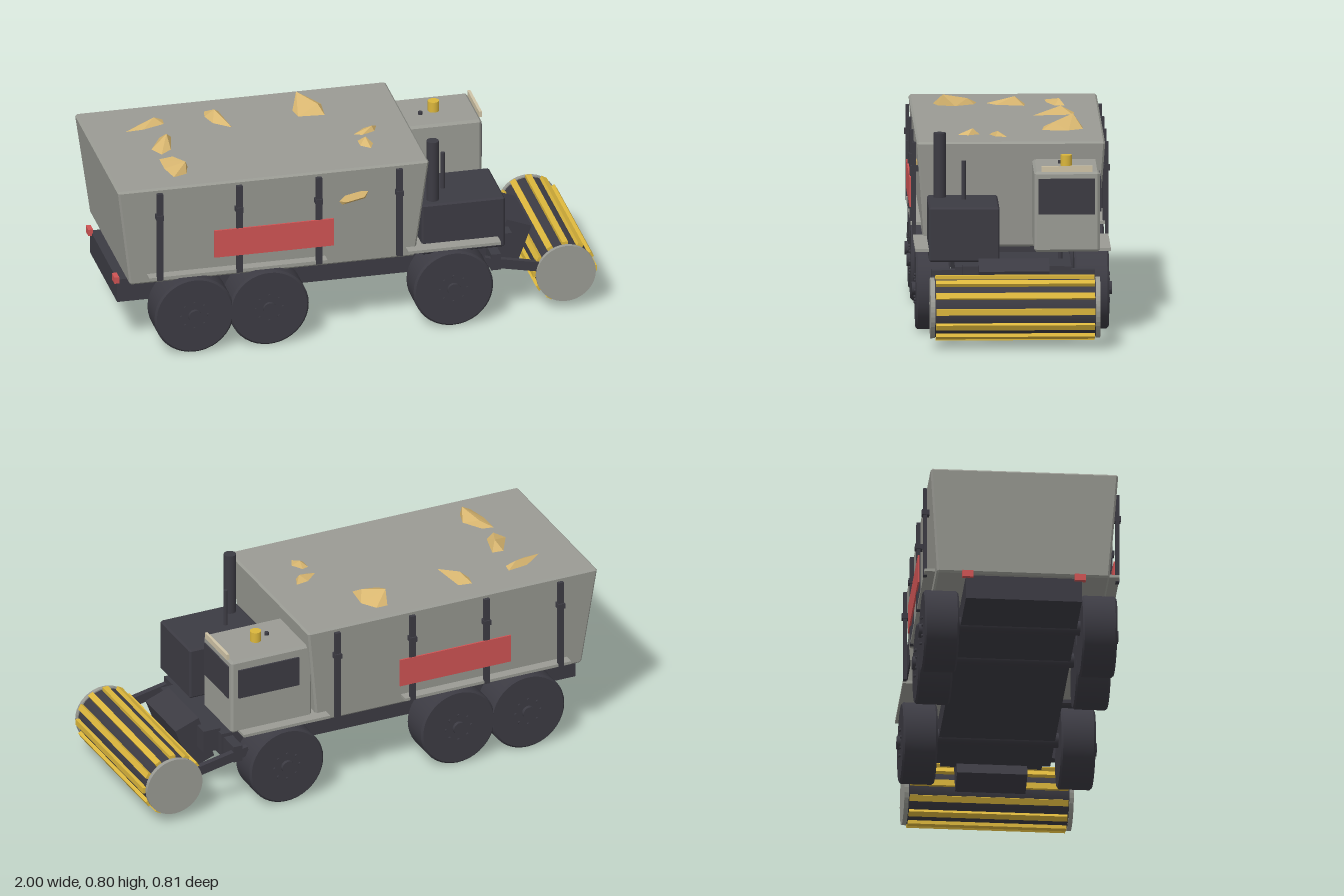
import * as THREE from 'three';
import { ConvexGeometry } from 'three/addons/geometries/ConvexGeometry.js';

const mat = (name, color, extra = {}) => {
  const m = new THREE.MeshStandardMaterial({ color, ...extra });
  m.name = name;
  return m;
};

export function createModel() {
  const root = new THREE.Group();
  root.name = 'miningTruck';
  const grey = mat('grey paint', 0x9a9b94, { flatShading: true });
  const dark = mat('dark metal', 0x3c3b43);
  const yellow = mat('yellow paint', 0xdbb63c);
  const red = mat('red paint', 0xcf5454);
  const tan = mat('tan ore', 0xd8b670, { flatShading: true });
  const cream = mat('cream lamp', 0xcfc3a6);

  const add = (name, geo, material, x = 0, y = 0, z = 0, parent = root) => {
    const m = new THREE.Mesh(geo, material);
    m.name = name;
    m.position.set(x, y, z);
    parent.add(m);
    return m;
  };
  // Box given by its limits
  const box = (name, material, x0, x1, y0, y1, z0, z1) =>
    add(name, new THREE.BoxGeometry(x1 - x0, y1 - y0, z1 - z0), material,
      (x0 + x1) / 2, (y0 + y1) / 2, (z0 + z1) / 2);
  // Upright rod
  const rod = (name, material, r, x, y0, y1, z) =>
    add(name, new THREE.CylinderGeometry(r, r, y1 - y0, 20), material, x, (y0 + y1) / 2, z);

  // Solid between two rectangles [x0, x1, z0, z1], with chamfered edges
  const chamfered = (name, material, y0, low, y1, high, c) => {
    const pts = [];
    const rings = [[y0, low, c], [y0 + c, low, 0], [y1 - c, high, 0], [y1, high, c]];
    for (const [y, [x0, x1, z0, z1], inset] of rings) {
      const a = x0 + inset, b = x1 - inset, d = z0 + inset, e = z1 - inset;
      if (inset) {
        for (const x of [a, b]) for (const z of [d, e]) pts.push(new THREE.Vector3(x, y, z));
      } else {
        for (const [x, sx] of [[a, 1], [b, -1]]) for (const [z, sz] of [[d, 1], [e, -1]]) {
          pts.push(new THREE.Vector3(x + sx * c, y, z), new THREE.Vector3(x, y, z + sz * c));
        }
      }
    }
    return add(name, new ConvexGeometry(pts), material);
  };

  // Chassis and hopper
  box('chassis', dark, -0.97, 0.61, 0.185, 0.285, -0.235, 0.235);
  box('hopperBase', dark, -0.92, 0.22, 0.28, 0.312, -0.2, 0.2);
  chamfered('hopper', grey, 0.31, [-0.945, 0.24, -0.35, 0.35],
    0.745, [-1, 0.29, -0.38, 0.38], 0.008);

  for (const s of [-1, 1]) {
    const side = (name, m, x0, x1, y0, y1, za, zb) =>
      box(name, m, x0, x1, y0, y1, Math.min(s * za, s * zb), Math.max(s * za, s * zb));

    // Side posts with clasps
    for (const x of [-0.83, -0.5, -0.17, 0.165]) {
      side('sidePost', dark, x - 0.0125, x + 0.0125, 0.34, 0.727, 0.382, 0.397);
      side('postClasp', dark, x - 0.015, x + 0.015, 0.61, 0.632, 0.372, 0.403);
    }
    side('redPanel', red, -0.605, -0.11, 0.42, 0.54, 0.393, 0.4);

    // Fenders
    side('rearFender', grey, -0.875, -0.135, 0.343, 0.355, 0.3, 0.395);
    side('frontFender', grey, 0.2, 0.585, 0.343, 0.355, 0.25, 0.395);

    side('tailLight', red, -0.985, -0.965, 0.275, 0.303, 0.205, 0.25);

    // Wheels
    const outline = [[0, 0], [0.157, 0], [0.165, 0.008], [0.165, 0.132], [0.157, 0.14], [0, 0.14]];
    for (const x of [-0.685, -0.375, 0.39]) {
      const wheel = new THREE.Group();
      wheel.name = 'wheel';
      wheel.position.set(x, 0.165, s * 0.25);
      wheel.rotation.x = s * Math.PI / 2;
      root.add(wheel);
      // Separate bands keep the tyre edges sharp
      for (let i = 0; i < outline.length - 1; i++) {
        const band = [outline[i], outline[i + 1]].map(p => new THREE.Vector2(...p));
        add('tyre', new THREE.LatheGeometry(band, 40), dark, 0, 0, 0, wheel);
      }
      add('hub', new THREE.CylinderGeometry(0.027, 0.027, 0.015, 20), dark, 0, 0.147, 0, wheel);
      for (let i = 0; i < 8; i++) {
        const a = i * Math.PI / 4;
        add('wheelBolt', new THREE.CylinderGeometry(0.006, 0.006, 0.006, 8), dark,
          0.056 * Math.cos(a), 0.143, 0.056 * Math.sin(a), wheel);
      }
    }

    // Drum arm and upright rod
    const arm = box('drumArm', dark, 0.53, 0.87, 0.185, 0.225, s * 0.318 - 0.012, s * 0.318 + 0.012);
    arm.rotation.z = -0.2;
    rod('uprightRod', dark, 0.009, 0.39, 0.28, 0.685, s * 0.195);
  }
  for (const x of [-0.685, -0.375, 0.39]) {
    const axle = add('axle', new THREE.CylinderGeometry(0.03, 0.03, 0.52, 16), dark, x, 0.2, 0);
    axle.rotation.x = Math.PI / 2;
  }
  box('armCrossBeam', dark, 0.56, 0.6, 0.2, 0.27, -0.33, 0.33);

  // Engine hood and exhaust
  chamfered('engineHood', dark, 0.305, [0.27, 0.615, 0.055, 0.34],
    0.527, [0.27, 0.615, 0.055, 0.34], 0.007);
  rod('exhaust', dark, 0.025, 0.326, 0.5, 0.79, 0.29);

  // Cab
  const cabPlan = [0.26, 0.62, -0.35, -0.085];
  chamfered('cab', grey, 0.345, cabPlan, 0.673, cabPlan, 0.01);
  box('windscreen', dark, 0.617, 0.625, 0.5, 0.645, -0.33, -0.102);
  box('sideWindow', dark, 0.32, 0.59, 0.505, 0.632, -0.357, -0.348);
  box('lampBar', cream, 0.615, 0.627, 0.673, 0.697, -0.32, -0.113);
  rod('beacon', yellow, 0.023, 0.45, 0.67, 0.717, -0.218);

  // Bumper and tilted radiator box
  box('bumper', dark, 0.6, 0.675, 0.2, 0.297, -0.205, 0.205);
  const radiator = add('radiatorBox', new THREE.BoxGeometry(0.11, 0.2, 0.285), dark, 0.685, 0.215, 0);
  radiator.rotation.z = -0.36;

  // Cutting drum with twelve bars
  const drum = new THREE.Group();
  drum.name = 'cuttingDrum';
  drum.position.set(0.868, 0.158, 0);
  root.add(drum);
  const core = add('drumCore', new THREE.CylinderGeometry(0.118, 0.118, 0.65, 36), dark, 0, 0, 0, drum);
  core.rotation.x = Math.PI / 2;
  for (const s of [-1, 1]) {
    const cap = add('drumCap', new THREE.CylinderGeometry(0.123, 0.123, 0.018, 36), grey, 0, 0, s * 0.334, drum);
    cap.rotation.x = Math.PI / 2;
  }
  for (let i = 0; i < 12; i++) {
    const a = i * Math.PI / 6;
    const bar = add('drumBar', new THREE.BoxGeometry(0.024, 0.025, 0.642), yellow,
      0.12 * Math.cos(a), 0.12 * Math.sin(a), 0, drum);
    bar.rotation.z = a;
  }

  // Ore lumps: ground outline [x, z] and raised points [x, y, z]
  const rocks = [
    [[[-0.85, -0.16], [-0.77, -0.165], [-0.67, -0.2], [-0.665, -0.245], [-0.76, -0.23]], [[-0.71, 0.77, -0.22]]],
    [[[-0.78, 0.02], [-0.72, -0.085], [-0.67, -0.08], [-0.7, 0.04], [-0.75, 0.08]], [[-0.7, 0.78, -0.04]]],
    [[[-0.77, 0.11], [-0.72, 0.12], [-0.67, 0.2], [-0.69, 0.27], [-0.75, 0.29], [-0.77, 0.2]], [[-0.69, 0.79, 0.25], [-0.72, 0.77, 0.15]]],
    [[[-0.49, -0.28], [-0.43, -0.27], [-0.41, -0.1], [-0.48, -0.16], [-0.5, -0.23]], [[-0.46, 0.778, -0.22]]],
    [[[-0.1, -0.3], [-0.05, -0.3], [-0.01, -0.24], [-0.02, -0.13], [-0.13, -0.14], [-0.14, -0.2]], [[-0.11, 0.8, -0.26], [-0.04, 0.775, -0.18]]],
    [[[0.04, 0.075], [0.1, 0.02], [0.16, 0.01], [0.14, 0.06], [0.08, 0.085]], [[0.13, 0.766, 0.05]]],
    [[[0.05, 0.13], [0.08, 0.12], [0.11, 0.17], [0.09, 0.215], [0.05, 0.18]], [[0.08, 0.77, 0.15]]],
  ];
  for (const [base, peaks] of rocks) {
    const pts = base.map(([x, z]) => new THREE.Vector3(x, 0.743, z));
    add('oreLump', new ConvexGeometry(pts.concat(peaks.map(p => new THREE.Vector3(...p)))), tan);
  }
  // Lump poking through the left wall
  const spill = [[-0.09, 0.6], [-0.06, 0.635], [0, 0.65], [0.05, 0.645], [0.03, 0.6], [-0.07, 0.58]]
    .map(([x, y]) => new THREE.Vector3(x, y, 0.366));
  spill.push(new THREE.Vector3(-0.05, 0.6, 0.385), new THREE.Vector3(0.02, 0.615, 0.385));
  add('spilledLump', new ConvexGeometry(spill), tan);

  return root;
}
